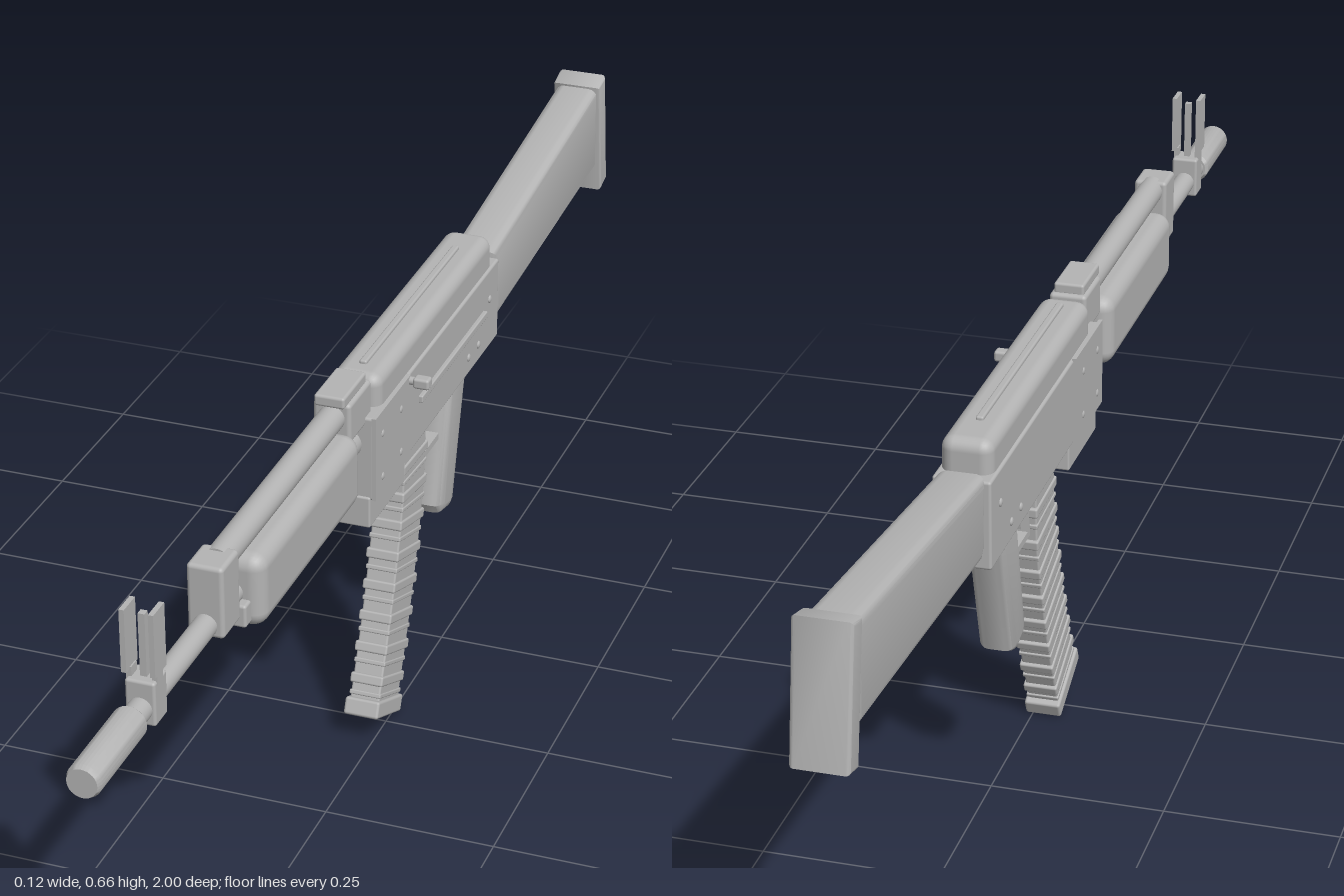
import * as THREE from 'three';
import { toCreasedNormals } from 'three/addons/utils/BufferGeometryUtils.js';
import { RoundedBoxGeometry } from 'three/addons/geometries/RoundedBoxGeometry.js';

export function createModel() {
  const model = new THREE.Group();
  const body = new THREE.Group();
  body.name = 'rifle';
  body.position.x = -0.016;
  model.add(body);
  const grey = new THREE.MeshStandardMaterial({ color: 0xb4b4b4 });
  grey.name = 'plain grey';

  const add = (name, geo, x = 0, y = 0, z = 0, rx = 0) => {
    const m = new THREE.Mesh(geo, grey);
    m.name = name;
    m.position.set(x, y, z);
    m.rotation.x = rx;
    body.add(m);
    return m;
  };
  // box from its y and z ranges, rounded when r > 0
  const box = (name, w, y0, y1, z0, z1, r = 0, x = 0) => add(name,
    r ? new RoundedBoxGeometry(w, y1 - y0, z1 - z0, 3, r) : new THREE.BoxGeometry(w, y1 - y0, z1 - z0),
    x, (y0 + y1) / 2, (z0 + z1) / 2);
  // round bar along z
  const rod = (name, r, y, z0, z1) =>
    add(name, new THREE.CylinderGeometry(r, r, z1 - z0, 32).rotateX(Math.PI / 2), 0, y, (z0 + z1) / 2);
  // side outline of [z, y] points, given a width with bevelled edges
  const slab = (name, pts, w, bevel) => {
    const shape = new THREE.Shape(pts.map(([z, y]) => new THREE.Vector2(z, y)));
    const geo = new THREE.ExtrudeGeometry(shape, {
      depth: w - 2 * bevel, bevelEnabled: bevel > 0, bevelSize: bevel,
      bevelThickness: bevel, bevelOffset: -bevel, bevelSegments: 4,
    });
    geo.translate(0, 0, -(w - 2 * bevel) / 2).rotateY(-Math.PI / 2);
    return add(name, toCreasedNormals(geo, 0.6), 0, 0, 0);
  };

  // barrel group
  const muzzle = [[0, 0], [0.019, 0], [0.023, 0.005], [0.023, 0.138], [0.02, 0.145], [0, 0.145]]
    .map(([r, h]) => new THREE.Vector2(r, h));
  add('muzzle', toCreasedNormals(new THREE.LatheGeometry(muzzle, 32).rotateX(Math.PI / 2), 0.5), 0, 0.523, 0.855);
  rod('barrel', 0.016, 0.523, 0.1, 0.87);
  rod('barrelCollar', 0.022, 0.525, 0.1, 0.18);
  rod('gasTube', 0.019, 0.592, 0.15, 0.58);
  box('gasBlock', 0.05, 0.505, 0.608, 0.565, 0.622, 0.006);
  box('handguardClip', 0.052, 0.482, 0.515, 0.53, 0.552, 0.004);

  // front sight
  box('frontSightBase', 0.04, 0.5, 0.562, 0.79, 0.828, 0.004);
  box('frontSightPost', 0.009, 0.555, 0.65, 0.805, 0.815);
  for (const s of [-1, 1]) {
    box('frontSightBlade', 0.007, 0.572, 0.66, 0.796, 0.83, 0, s * 0.019);
    box('frontSightBladeFoot', 0.007, 0.555, 0.575, 0.803, 0.82, 0, s * 0.017);
  }

  // handguard and rear sight
  box('handguard', 0.087, 0.47, 0.577, 0.17, 0.535, 0.022);
  box('rearSightBlock', 0.054, 0.555, 0.615, 0.088, 0.172, 0.006);
  box('rearSightLeaf', 0.044, 0.612, 0.629, 0.095, 0.182, 0.004);

  // receiver
  box('receiver', 0.08, 0.44, 0.568, -0.428, 0.115, 0.004);
  box('magazineHousing', 0.07, 0.397, 0.445, -0.027, 0.118, 0.003);
  box('receiverCover', 0.072, 0.535, 0.615, -0.41, 0.083, 0.018);
  box('coverRib', 0.011, 0.605, 0.62, -0.345, 0.05, 0.003);
  for (const s of [-1, 1]) {
    box('receiverFrontPlate', 0.006, 0.442, 0.57, -0.025, 0.118, 0, s * 0.041);
    const rivets = [[0.09, 0.535], [0.09, 0.468], [0.015, 0.535], [0.015, 0.468],
      [-0.29, 0.468], [-0.335, 0.468], [-0.385, 0.52]];
    for (const [z, y] of rivets) {
      const r = add('rivet', new THREE.SphereGeometry(0.006, 12, 8), s * (z > 0 ? 0.043 : 0.04), y, z);
      r.scale.x = 0.5;
    }
  }
  box('sideRail', 0.008, 0.502, 0.513, -0.36, -0.07, 0.002, 0.042);

  // charging handle on the left side
  add('chargingHandle', new THREE.CylinderGeometry(0.006, 0.006, 0.04, 16).rotateZ(Math.PI / 2), 0.05, 0.562, -0.022);
  add('chargingKnob', new RoundedBoxGeometry(0.024, 0.016, 0.018, 2, 0.004), 0.062, 0.562, -0.022);

  // stock and butt plate
  slab('stock', [[-0.425, 0.577], [-0.95, 0.636], [-0.955, 0.493], [-0.445, 0.46], [-0.432, 0.475]], 0.068, 0.014);
  slab('buttPlate', [[-0.938, 0.638], [-0.974, 0.647], [-1, 0.457], [-0.966, 0.449]], 0.077, 0.006);

  // grip, trigger and guard
  slab('grip', [[-0.255, 0.45], [-0.335, 0.45], [-0.322, 0.405], [-0.275, 0.236], [-0.258, 0.228],
    [-0.222, 0.236], [-0.213, 0.252]], 0.052, 0.014);
  box('triggerGuard', 0.026, 0.354, 0.364, -0.25, -0.152);
  box('triggerGuardFront', 0.026, 0.354, 0.442, -0.162, -0.152);
  slab('trigger', [[-0.165, 0.442], [-0.185, 0.442], [-0.177, 0.405], [-0.172, 0.372], [-0.163, 0.374], [-0.166, 0.405]], 0.012, 0);

  // curved magazine: stacked segments, each with a raised band
  const path = new THREE.CatmullRomCurve3([[0.44, -0.108], [0.34, -0.1], [0.245, -0.074], [0.14, -0.036], [0.03, 0.013]]
    .map(([y, z]) => new THREE.Vector3(0, y, z)));
  const count = 9;
  const step = path.getLength() / count;
  const place = (name, t, w, h, d, r) => {
    const p = path.getPointAt(t), k = path.getTangentAt(t);
    add(name, new RoundedBoxGeometry(w, h, d, 2, r), 0, p.y, p.z, Math.atan2(-k.z, -k.y));
  };
  for (let i = 0; i < count; i++) {
    place('magazineSegment', (i + 0.5) / count, 0.045, step * 1.12, 0.092, 0.003);
    if (i > 0) place('magazineBand', i / count, 0.05, 0.015, 0.103, 0.003);
    if (i > 0) place('magazineRib', (i + 0.45) / count, 0.048, 0.007, 0.097, 0.002);
  }
  place('magazineFloorPlate', 0.985, 0.053, 0.026, 0.112, 0.004);

  // settle on the ground
  model.updateMatrixWorld(true);
  body.position.y = -new THREE.Box3().setFromObject(model, true).min.y;
  return model;
}
